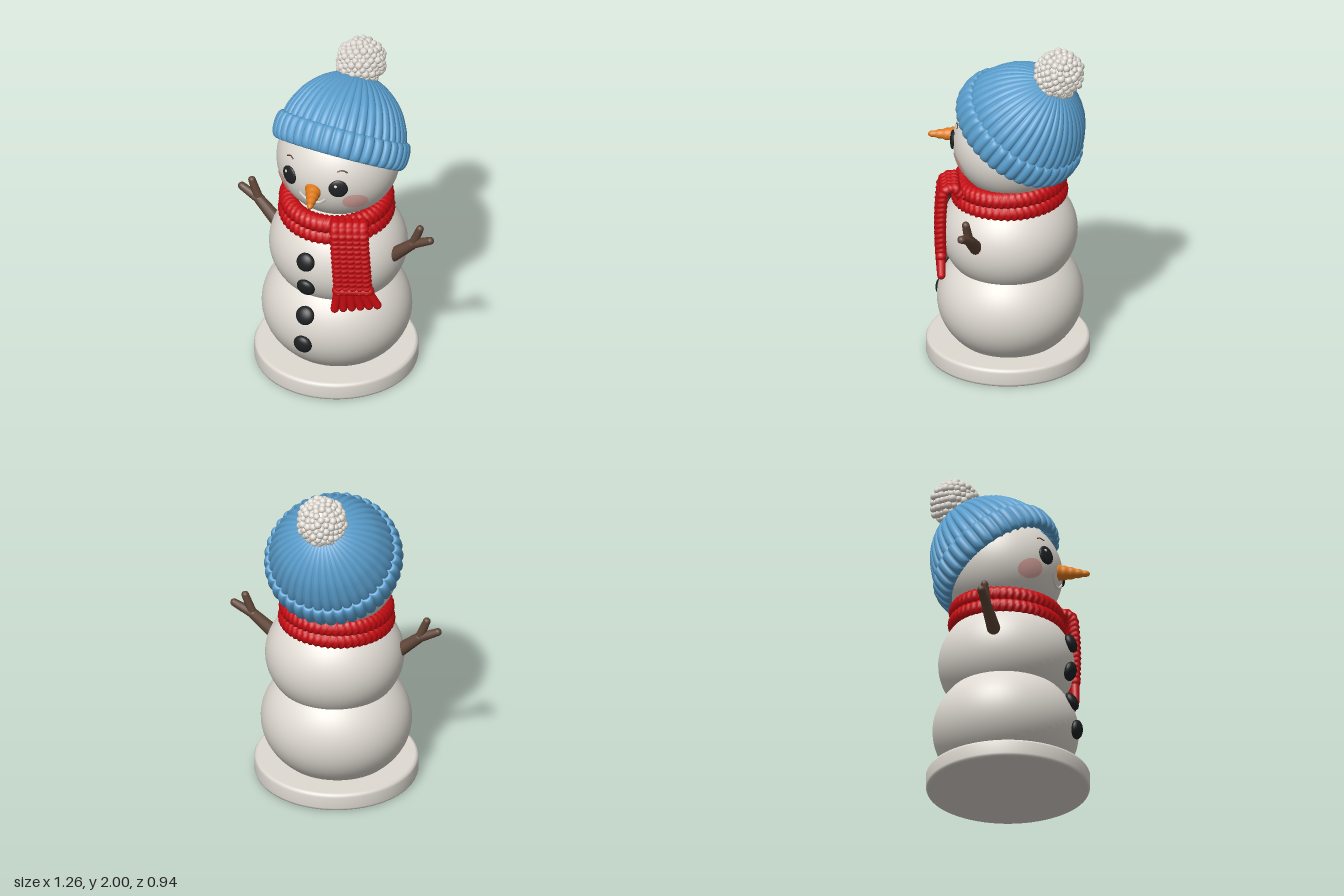
import * as THREE from 'three';
import { mergeGeometries, mergeVertices } from 'three/addons/utils/BufferGeometryUtils.js';

const V = (x, y, z) => new THREE.Vector3(x, y, z);
const mat = (name, color) => {
  const m = new THREE.MeshStandardMaterial({ color });
  m.name = name;
  return m;
};
const CX = -0.013; // body axis

// Body ellipsoids: centre c, radii r
const BALLS = {
  lowerBall: { c: V(CX, 0.365, -0.013), r: V(0.435, 0.36, 0.418) },
  middleBall: { c: V(CX + 0.01, 0.79, -0.012), r: V(0.4, 0.34, 0.39) },
  head: { c: V(CX, 1.36, -0.03), r: V(0.358, 0.325, 0.342) },
};

// Point on the front of a ball, with its outward normal
function onBall({ c, r }, x, y, grow = 1) {
  const dx = (x - c.x) / (r.x * grow), dy = (y - c.y) / (r.y * grow);
  const dz = Math.sqrt(Math.max(0, 1 - dx * dx - dy * dy));
  return { p: V(x, y, c.z + dz * r.z * grow), n: V(dx / r.x, dy / r.y, dz / r.z).normalize() };
}

// Join seams and rebuild smooth normals
function weld(geo) {
  geo.deleteAttribute('uv');
  geo.deleteAttribute('normal');
  geo = mergeVertices(geo, 1e-5);
  geo.computeVertexNormals();
  return geo;
}

// Knit ridges: push vertices of a tube or torus along their normals
function knit(geo, rows, depth) {
  const { position: p, normal: n, uv } = geo.attributes;
  for (let i = 0; i < p.count; i++) {
    const v = Math.abs(((uv.getY(i) * 4) % 2) - 1); // V-shaped stitches
    const d = depth * Math.sin(uv.getX(i) * rows * 2 * Math.PI + v * 4);
    p.setXYZ(i, p.getX(i) + n.getX(i) * d, p.getY(i) + n.getY(i) * d, p.getZ(i) + n.getZ(i) * d);
  }
  return weld(geo);
}

// Lathe with rounded vertical ribs
function ribbed(profile, ribs, depth) {
  const curve = new THREE.SplineCurve(profile.map(([r, y]) => new THREE.Vector2(r, y)));
  const pts = curve.getPoints(22);
  pts.forEach((q) => (q.x = Math.max(q.x, 0)));
  const geo = new THREE.LatheGeometry(pts, ribs * 8);
  const p = geo.attributes.position;
  for (let i = 0; i < p.count; i++) {
    const a = Math.atan2(p.getX(i), p.getZ(i));
    const s = 1 + depth * (Math.sqrt(Math.abs(Math.cos((a * ribs) / 2))) - 0.8);
    p.setX(i, p.getX(i) * s);
    p.setZ(i, p.getZ(i) * s);
  }
  return weld(geo);
}

// Tapered stick with round ends
function limb(a, b, ra, rb) {
  const dir = b.clone().sub(a);
  const stick = new THREE.CylinderGeometry(rb, ra, dir.length(), 14, 1, true);
  stick.applyQuaternion(new THREE.Quaternion().setFromUnitVectors(V(0, 1, 0), dir.clone().normalize()));
  stick.translate(...a.clone().add(b).multiplyScalar(0.5).toArray());
  const ends = [[a, ra], [b, rb]].map(([p, r]) => new THREE.SphereGeometry(r, 14, 10).translate(p.x, p.y, p.z));
  return mergeGeometries([stick, ...ends]);
}

export function createModel() {
  const white = mat('snow white', 0xdfdad2);
  const blue = mat('knit blue', 0x5a9ecd);
  const red = mat('scarf red', 0xc60c12);
  const brown = mat('twig brown', 0x5f4537);
  const black = mat('coal black', 0x1e2022);
  const orange = mat('carrot orange', 0xe07c1e);
  const pink = mat('cheek pink', 0xe0aaa4);

  const model = new THREE.Group();
  model.name = 'snowman';
  const add = (name, geo, material, parent = model) => {
    const m = new THREE.Mesh(geo, material);
    m.name = name;
    parent.add(m);
    return m;
  };

  // Round base with softened rims
  const rim = [[0, 0], [0.455, 0], [0.466, 0.006], [0.471, 0.02], [0.471, 0.088], [0.464, 0.103], [0.45, 0.11], [0, 0.11]];
  add('base', new THREE.LatheGeometry(rim.map(([r, y]) => new THREE.Vector2(r, y)), 72), white).position.set(-0.01, 0, 0);

  // Snowballs
  for (const [name, { c, r }] of Object.entries(BALLS)) {
    const m = add(name, new THREE.SphereGeometry(1, 56, 40), white);
    m.position.copy(c);
    m.scale.copy(r);
  }

  // Flattened pebble lying on a ball
  const pebble = (name, ball, x, y, r, thick, material, lift = 0) => {
    const { p, n } = onBall(ball, x, y);
    const m = add(name, new THREE.SphereGeometry(1, 24, 16), material);
    m.scale.set(r, r, thick);
    m.position.copy(p).addScaledVector(n, lift);
    m.quaternion.setFromUnitVectors(V(0, 0, 1), n);
    return m;
  };

  // Buttons
  const { lowerBall, middleBall, head } = BALLS;
  for (const [ball, y] of [[middleBall, 0.87], [middleBall, 0.7], [lowerBall, 0.5], [lowerBall, 0.325]])
    pebble('button', ball, CX - 0.002, y, 0.056, 0.032, black, 0.012);

  // Face: eyes, highlights, brows and cheeks, mirrored
  for (const s of [-1, 1]) {
    const ex = CX + s * 0.156;
    pebble('eye', head, ex, 1.375, 0.056, 0.016, black, 0.001);
    pebble('eyeHighlight', head, ex - 0.014, 1.395, 0.009, 0.004, white, 0.016);
    const brow = [[-0.028, 1.47], [0, 1.483], [0.026, 1.476]].map(([x, y]) => onBall(head, ex + s * 0.01 + s * -x, y).p);
    add('eyebrow', new THREE.TubeGeometry(new THREE.CatmullRomCurve3(brow), 10, 0.004, 6), brown);

    const cheek = new THREE.RingGeometry(0.0005, 0.058, 32, 5).translate(CX + s * 0.231, 1.27, 0);
    const p = cheek.attributes.position;
    for (let i = 0; i < p.count; i++) p.setZ(i, onBall(head, p.getX(i), p.getY(i), 1.012).p.z);
    cheek.computeVertexNormals();
    add('cheek', cheek, pink);
  }
  const smile = [[-0.085, 1.29], [-0.045, 1.255], [0, 1.243], [0.045, 1.255], [0.085, 1.29]];
  add('smile', new THREE.TubeGeometry(
    new THREE.CatmullRomCurve3(smile.map(([x, y]) => onBall(head, CX + x, y).p)), 24, 0.009, 8), white);

  // Carrot nose with shallow rings, pointing slightly to the left
  const carrot = [];
  for (let i = 0; i <= 20; i++) {
    const t = i / 20;
    carrot.push(new THREE.Vector2(0.052 - 0.037 * t + 0.002 * Math.sin(t * 28), t * 0.185));
  }
  carrot.push(new THREE.Vector2(0.009, 0.194), new THREE.Vector2(0, 0.197));
  const nose = add('nose', new THREE.LatheGeometry(carrot, 24), orange);
  nose.position.set(CX + 0.005, 1.335, 0.285);
  nose.quaternion.setFromUnitVectors(V(0, 1, 0), V(0.33, -0.02, 0.94).normalize());

  // Twig arms with two fingers
  for (const s of [-1, 1]) {
    const at = (x, y, z = 0.025) => V(s * x, y, z);
    const fork = at(0.495, 0.945);
    add(s > 0 ? 'leftArm' : 'rightArm', mergeGeometries([
      limb(at(0.35, 0.815, 0.035), fork, 0.042, 0.031),
      limb(fork, at(0.605, 1.0), 0.029, 0.023),
      limb(fork, at(0.54, 1.062), 0.027, 0.022),
    ]), brown);
  }

  // Scarf: two wraps around the neck, lower at the front
  const scarf = new THREE.Group();
  scarf.name = 'scarf';
  model.add(scarf);
  for (const [y, R] of [[1.105, 0.277], [1.028, 0.282]]) {
    const wrap = add('scarfWrap', knit(new THREE.TorusGeometry(R, 0.052, 16, 260), 52, 0.004), red, scarf);
    wrap.rotation.set(Math.PI / 2 + 0.06, 0, 0);
    wrap.position.set(CX, y, -0.008);
  }

  // Hanging scarf end, turned to follow the body
  const tail = new THREE.Group();
  tail.name = 'scarfTail';
  tail.position.set(0.245, 0, 0.3);
  tail.rotation.y = 0.44;
  scarf.add(tail);
  for (let i = -2; i <= 2; i++) {
    const path = [[-0.02, 1.08, -0.11], [-0.02, 1.135, -0.065], [-0.018, 1.115, -0.012], [-0.015, 1.03, 0.004], [-0.006, 0.88, 0.012], [0.004, 0.71, 0.01]];
    const curve = new THREE.CatmullRomCurve3(path.map(([x, y, z]) => V(x + i * 0.04, y, z)));
    add('scarfStrand', knit(new THREE.TubeGeometry(curve, 110, 0.031, 10), 17, 0.003), red, tail);
  }
  add('scarfHem', limb(V(-0.085, 0.715, 0.01), V(0.095, 0.715, 0.01), 0.032, 0.032), red, tail);
  for (let i = 0; i < 6; i++) {
    const s = i - 2.5;
    add('scarfFringe', limb(V(0.005 + s * 0.035, 0.705, 0.01), V(0.022 + s * 0.049, 0.587 + i * 0.006, 0.01), 0.027, 0.024), red, tail);
  }

  // Hat, tipped back
  const hat = new THREE.Group();
  hat.name = 'hat';
  hat.position.set(CX, 1.385, -0.025);
  hat.rotation.x = -0.611;
  model.add(hat);
  add('hatCrown', ribbed([[0.35, 0.06], [0.362, 0.14], [0.352, 0.2], [0.327, 0.26], [0.282, 0.335], [0.205, 0.41], [0.11, 0.462], [0, 0.485]], 38, 0.06), blue, hat);
  add('hatBrim', ribbed([[0.33, 0.05], [0.345, 0.005], [0.372, -0.002], [0.392, 0.03], [0.397, 0.085], [0.39, 0.135], [0.372, 0.158], [0.345, 0.15]], 38, 0.06), blue, hat);

  // Pompom: small tufts spread evenly over a core
  const tufts = [new THREE.SphereGeometry(0.128, 24, 16)];
  const count = 170;
  for (let i = 0; i < count; i++) {
    const y = 1 - (2 * (i + 0.5)) / count, a = i * 2.39996, q = Math.sqrt(1 - y * y);
    const d = 0.125 + 0.006 * Math.sin(i * 7.3);
    tufts.push(new THREE.SphereGeometry(0.021 + 0.003 * Math.sin(i * 3.1), 9, 7).translate(q * Math.cos(a) * d, y * d, q * Math.sin(a) * d));
  }
  const pompom = add('pompom', mergeGeometries(tufts), white, hat);
  pompom.position.set(0, 0.547, 0.025);

  return model;
}
